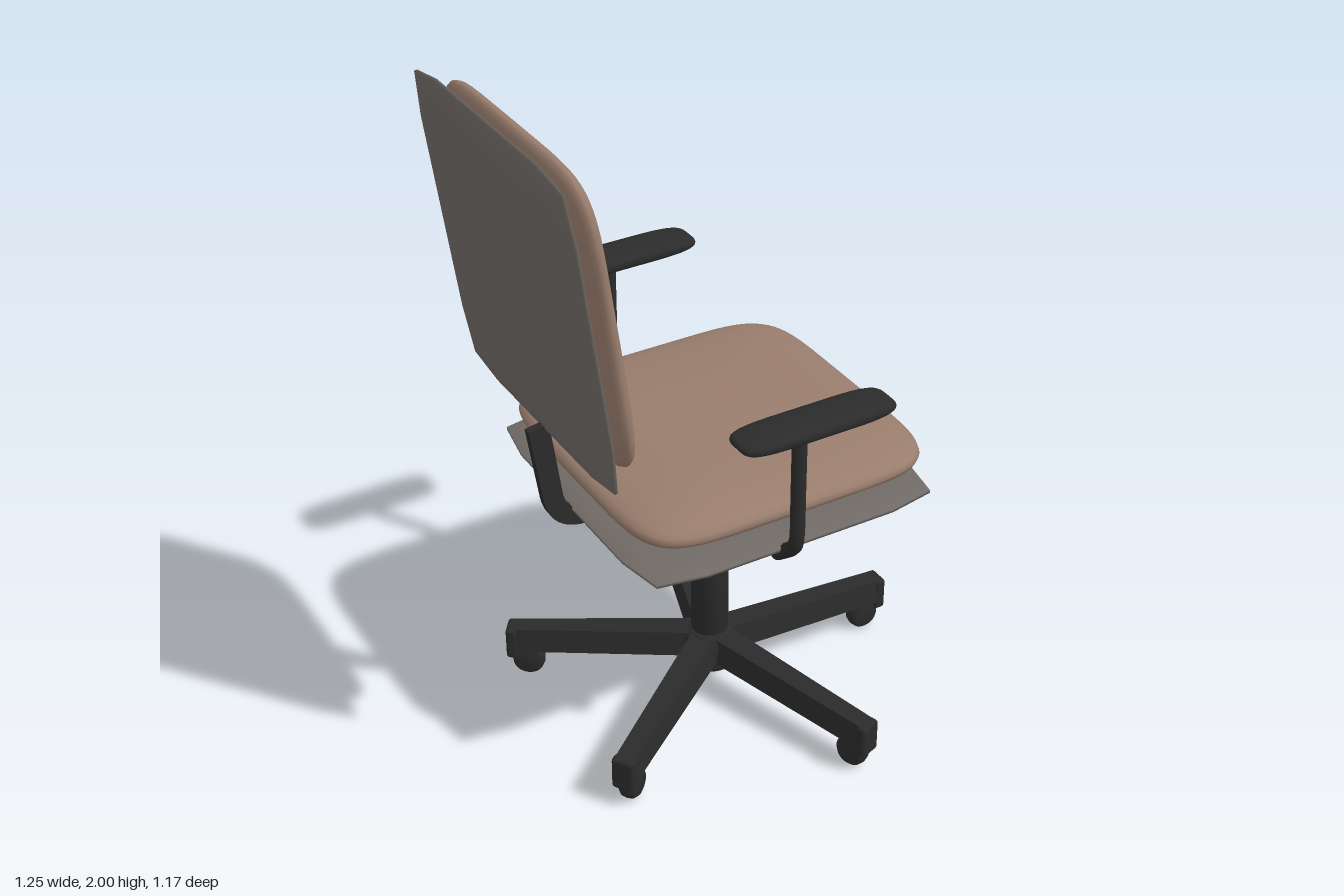
import * as THREE from 'three';
import { RoundedBoxGeometry } from 'three/addons/geometries/RoundedBoxGeometry.js';

const mat = (name, color) => {
  const m = new THREE.MeshStandardMaterial({ color });
  m.name = name;
  return m;
};

// Closed lens-like solid: an outline (unit x,z) scaled through [scale, height] rings.
function pillow(outline, rings, hx, hy, hz) {
  const pos = [], idx = [], n = outline.length;
  for (const [s, h] of rings) for (const [x, z] of outline) pos.push(x * s * hx, h * hy, z * s * hz);
  for (let i = 0; i < rings.length - 1; i++) {
    for (let j = 0; j < n; j++) {
      const k = (j + 1) % n, a = i * n + j, b = i * n + k, c = a + n, d = b + n;
      idx.push(a, b, c, b, d, c);
    }
  }
  const g = new THREE.BufferGeometry();
  g.setAttribute('position', new THREE.Float32BufferAttribute(pos, 3));
  g.setIndex(idx);
  g.computeVertexNormals();
  return g;
}

const spow = (v, p) => Math.sign(v) * Math.abs(v) ** p;

// Rounded square outline
function softOutline(n, count = 64) {
  return Array.from({ length: count }, (_, i) => {
    const t = (i / count) * Math.PI * 2;
    return [spow(Math.cos(t), 2 / n), spow(Math.sin(t), 2 / n)];
  });
}

// Rounded edge profile from top centre to bottom centre
function softRings(n, count = 20) {
  return Array.from({ length: count + 1 }, (_, i) => {
    const t = (i / count) * Math.PI;
    return [Math.abs(spow(Math.sin(t), 2 / n)), spow(Math.cos(t), 2 / n)];
  });
}

// Square outline with chamfered corners
const shellOutline = [];
for (let q = 0; q < 4; q++) {
  for (let [x, z] of [[1, 0.64], [0.945, 0.945], [0.64, 1]]) {
    for (let r = 0; r < q; r++) [x, z] = [-z, x];
    shellOutline.push([x, z]);
  }
}
const shellRings = [[0, 1], [0.65, 0.9], [0.9, 0.62], [1, 0.2], [1, -0.2], [0.9, -0.62], [0.65, -0.9], [0, -1]];

export function createModel() {
  const fabric = mat('tan fabric', 0x997d6d);
  const grey = mat('warm grey', 0x706a66);
  const black = mat('black plastic', 0x2b2b2b);
  const model = new THREE.Group();
  model.name = 'officeChair';

  const add = (name, geo, material, x = 0, y = 0, z = 0, parent = model) => {
    const m = new THREE.Mesh(geo, material);
    m.name = name;
    m.position.set(x, y, z);
    parent.add(m);
    return m;
  };
  const tube = (points, r, tension = 0.3) => new THREE.TubeGeometry(
    new THREE.CatmullRomCurve3(points.map(p => new THREE.Vector3(...p)), false, 'catmullrom', tension), 32, r, 10);
  const lathe = (pts, seg = 28) => new THREE.LatheGeometry(pts.map(p => new THREE.Vector2(...p)), seg);
  const cx = 0.015;

  // Star base with five legs and casters
  const base = new THREE.Group();
  base.name = 'base';
  base.position.x = cx;
  model.add(base);
  add('hub', lathe([[0, 0.1], [0.08, 0.1], [0.085, 0.11], [0.085, 0.14], [0.08, 0.19], [0.058, 0.215], [0, 0.215]]), black, 0, 0, 0, base);

  const legGeo = new THREE.BoxGeometry(0.59, 0.075, 0.1);
  const p = legGeo.attributes.position;
  for (let i = 0; i < p.count; i++) {
    const tip = p.getX(i) > 0, top = p.getY(i) > 0;
    p.setZ(i, p.getZ(i) * (tip ? 0.72 : 1) * (top ? 0.75 : 1));
    p.setY(i, p.getY(i) + (tip ? -0.02 : 0.02));
  }
  legGeo.computeVertexNormals();
  const wheelGeo = lathe([[0, -0.026], [0.036, -0.026], [0.046, -0.016], [0.049, 0], [0.046, 0.016], [0.036, 0.026], [0, 0.026]]);
  wheelGeo.rotateX(Math.PI / 2);

  for (let i = 0; i < 5; i++) {
    const leg = new THREE.Group();
    leg.name = 'leg' + (i + 1);
    leg.rotation.y = (i * Math.PI * 2) / 5;
    base.add(leg);
    add('legBeam', legGeo, black, 0.305, 0.152, 0, leg);
    add('legTip', new RoundedBoxGeometry(0.036, 0.105, 0.07, 2, 0.012), black, 0.591, 0.118, 0, leg);
    add('casterHood', new RoundedBoxGeometry(0.075, 0.045, 0.045, 2, 0.01), black, 0.548, 0.095, 0, leg);
    add('casterWheel', wheelGeo, black, 0.545, 0.05, 0, leg);
  }

  // Gas column
  add('columnSleeve', lathe([[0, 0.2], [0.055, 0.2], [0.055, 0.483], [0.05, 0.492], [0, 0.492]]), black, cx);
  add('piston', new THREE.CylinderGeometry(0.025, 0.025, 0.24, 24), grey, cx, 0.59);

  // Tilt mechanism and its lever
  add('mechanism', new RoundedBoxGeometry(0.39, 0.08, 0.35, 2, 0.02), black, cx, 0.73);
  add('seatMount', new THREE.BoxGeometry(0.3, 0.1, 0.26), black, cx, 0.8);
  add('lever', tube([[0.04, 0.73, -0.15], [0.04, 0.73, -0.25], [0.04, 0.731, -0.32], [0.04, 0.752, -0.38]], 0.011), black);

  // Seat
  const cushionOutline = softOutline(6), cushionRings = softRings(2.4);
  add('seatShell', pillow(shellOutline, shellRings, 0.457, 0.023, 0.465), grey, 0.028, 0.797);
  add('seatCushion', pillow(cushionOutline, cushionRings, 0.455, 0.065, 0.455), fabric, 0.035, 0.9);

  // Curved back support bar
  const bar = new THREE.Shape();
  bar.moveTo(-0.1, 0.72);
  bar.lineTo(-0.4, 0.737);
  bar.quadraticCurveTo(-0.495, 0.75, -0.512, 0.85);
  bar.lineTo(-0.547, 1.08);
  bar.lineTo(-0.487, 1.09);
  bar.lineTo(-0.455, 0.86);
  bar.quadraticCurveTo(-0.445, 0.792, -0.385, 0.786);
  bar.lineTo(-0.1, 0.77);
  add('backBar', new THREE.ExtrudeGeometry(bar, { depth: 0.026, bevelEnabled: false, curveSegments: 12 }), black, 0, 0, -0.013);

  // Reclined backrest
  const lean = 0.136;
  const shell = add('backShell', pillow(shellOutline, shellRings, 0.464, 0.022, 0.43), grey, -0.557, 1.538);
  const cushion = add('backCushion', pillow(cushionOutline, cushionRings, 0.446, 0.051, 0.41), fabric, -0.491, 1.54);
  shell.rotation.z = cushion.rotation.z = lean - Math.PI / 2;
  const mount = add('backMount', new THREE.BoxGeometry(0.025, 0.5, 0.15), black, -0.506, 1.335);
  mount.rotation.z = lean;

  // Armrests
  const padGeo = pillow(softOutline(5), softRings(2.6), 0.232, 0.026, 0.065);
  for (const s of [1, -1]) {
    const arm = new THREE.Group();
    arm.name = s > 0 ? 'leftArmrest' : 'rightArmrest';
    model.add(arm);
    add('armPad', padGeo, black, 0.018, 1.212, s * 0.515, arm);
    add('armPost', tube([[-0.022, 1.2, s * 0.513], [-0.022, 1.0, s * 0.513], [-0.022, 0.87, s * 0.513],
      [-0.022, 0.82, s * 0.497], [-0.022, 0.755, s * 0.42]], 0.021), black, 0, 0, 0, arm);
    const cap = add('postEnd', new THREE.SphereGeometry(0.021, 12, 8), black, -0.022, 0.757, s * 0.422, arm);
    cap.scale.setScalar(0.98);
  }
  return model;
}
